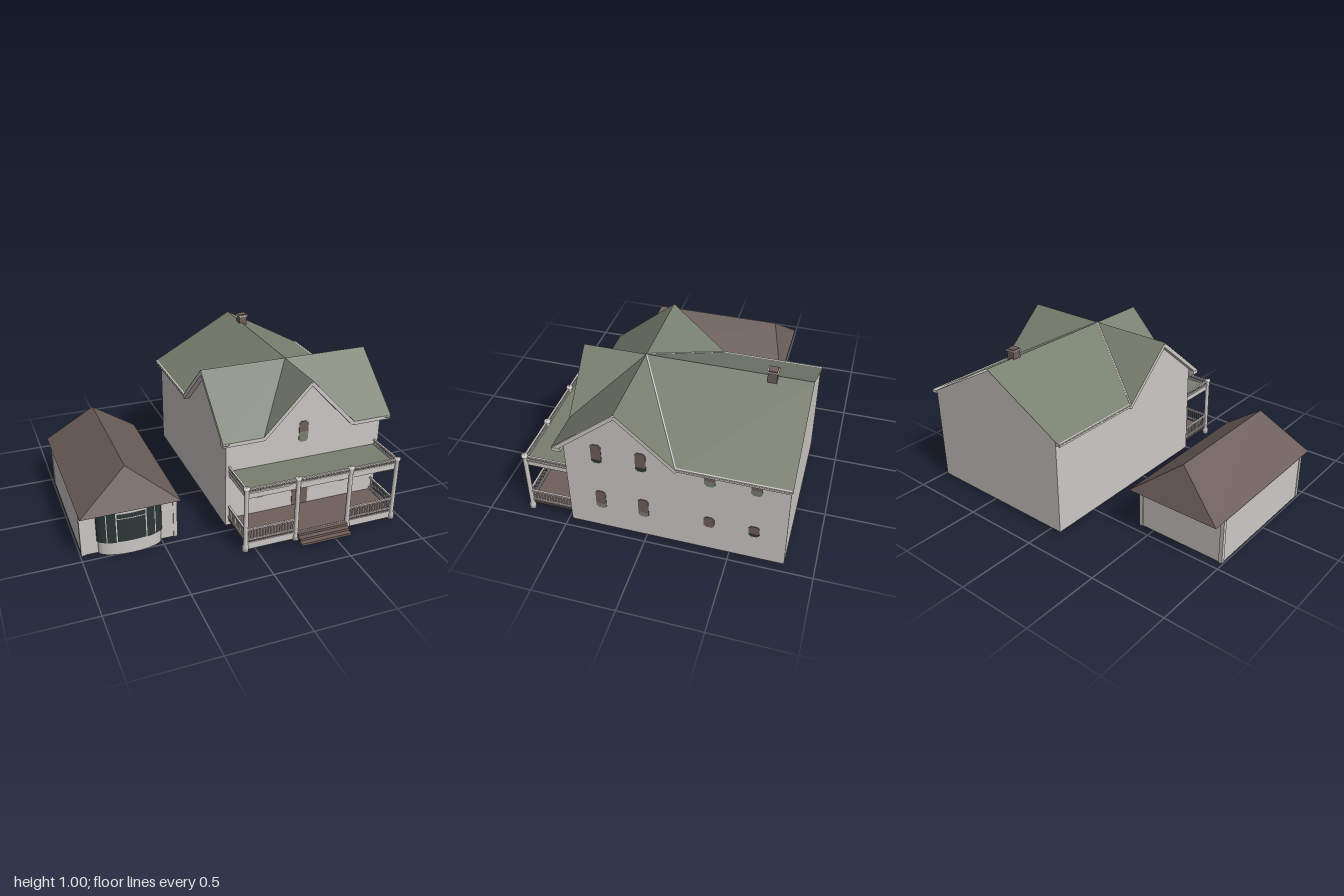
import * as THREE from 'three';
import { mergeGeometries } from 'three/addons/utils/BufferGeometryUtils.js';

const mat = (name, color) => new THREE.MeshStandardMaterial({ name, color, side: THREE.DoubleSide });
const wallPaint = mat('wallPaint', 0xcdc8c5);
const greenRoof = mat('greenRoof', 0x788070);
const brownRoof = mat('brownRoof', 0x6c5e5a);
const brownWood = mat('brownWood', 0x705f5a);
const darkGlass = mat('darkGlass', 0x2c3837);

function add(parent, name, geo, material, x = 0, y = 0, z = 0) {
  const m = new THREE.Mesh(geo, material);
  m.name = name;
  m.position.set(x, y, z);
  parent.add(m);
  return m;
}

// box given by its min and max corners
function box(parent, name, material, x0, x1, y0, y1, z0, z1) {
  return add(parent, name, new THREE.BoxGeometry(x1 - x0, y1 - y0, z1 - z0), material,
    (x0 + x1) / 2, (y0 + y1) / 2, (z0 + z1) / 2);
}

// flat convex polygon, fanned from its first corner, facing upward
function face(parent, name, material, pts) {
  const [a, b, c] = pts.map(p => new THREE.Vector3(...p));
  if (b.clone().sub(a).cross(c.clone().sub(a)).y < 0) pts = [...pts].reverse();
  const pos = [];
  for (let i = 1; i < pts.length - 1; i++) pos.push(...pts[0], ...pts[i], ...pts[i + 1]);
  const g = new THREE.BufferGeometry();
  g.setAttribute('position', new THREE.Float32BufferAttribute(pos, 3));
  g.computeVertexNormals();
  return add(parent, name, g, material);
}

// straight board from a to b
function board(parent, name, material, a, b, width, height) {
  const p = new THREE.Vector3(...a), q = new THREE.Vector3(...b);
  const dx = q.clone().sub(p), len = dx.length();
  dx.normalize();
  const dz = new THREE.Vector3().crossVectors(dx, new THREE.Vector3(0, 1, 0)).normalize();
  const dy = new THREE.Vector3().crossVectors(dz, dx);
  const m = add(parent, name, new THREE.BoxGeometry(len, height, width), material);
  m.quaternion.setFromRotationMatrix(new THREE.Matrix4().makeBasis(dx, dy, dz));
  m.position.copy(p).add(q).multiplyScalar(0.5);
}

// thin plate with clipped corners, centred on the wall plane
function plate(parent, name, material, side, u, w, y0, y1, top, bottom) {
  const h = w / 2, t = top ? 0.014 : 0, b = bottom ? 0.014 : 0;
  const s = new THREE.Shape([[-h + b, y0], [h - b, y0], [h, y0 + b], [h, y1 - t], [h - t, y1],
    [-h + t, y1], [-h, y1 - t], [-h, y0 + b]].map(p => new THREE.Vector2(...p)));
  const g = new THREE.ExtrudeGeometry(s, { depth: 0.008, bevelEnabled: false }).translate(0, 0, -0.004);
  if (side) g.rotateY(Math.PI / 2);
  add(parent, name, g, material, side ? 0.96 : u, 0, side ? u : 0.47);
}

function wall(parent, name, pts) {
  return add(parent, name, new THREE.ShapeGeometry(new THREE.Shape(pts.map(p => new THREE.Vector2(...p)))), wallPaint);
}

function buildHouse() {
  const g = new THREE.Group();
  g.name = 'house';
  const cx = 0.435, R = 0.945;

  // walls with gables
  wall(g, 'frontWall', [[-0.09, 0.02], [0.96, 0.02], [0.96, 0.62], [0.74, 0.62], [cx, 0.93], [0.13, 0.62], [-0.09, 0.62]]).position.z = 0.47;
  const back = wall(g, 'backWall', [[0.09, 0.02], [0.09, 0.645], [-cx, 0.935], [-0.96, 0.645], [-0.96, 0.02]]);
  back.rotation.y = Math.PI;
  back.position.z = -0.825;
  const sidePts = [[-0.47, 0.02], [0.825, 0.02], [0.825, 0.645], [0.19, 0.645], [-0.14, 0.93], [-0.47, 0.64]];
  const right = wall(g, 'leftSideWall', sidePts);
  right.rotation.y = Math.PI / 2;
  right.position.x = 0.96;
  const left = wall(g, 'rightSideWall', sidePts.map(([u, y]) => [-u, y]));
  left.rotation.y = -Math.PI / 2;
  left.position.x = -0.09;

  // crossing roofs, mirrored about the main ridge
  const C = [cx, R, 0.14];
  for (const s of [-1, 1]) {
    const e = cx + s * 0.565, v = cx + s * 0.305;
    face(g, 'mainRoof', greenRoof, [[cx, R, -0.835], C, [e, 0.635, -0.2], [e, 0.635, -0.835]]);
    face(g, 'crossRoofBack', greenRoof, [C, [e, R, 0.14], [e, 0.635, -0.2]]);
    face(g, 'crossRoofFront', greenRoof, [[e, R, 0.14], C, [v, 0.625, 0.525], [e, 0.625, 0.525]]);
    face(g, 'frontGableRoof', greenRoof, [C, [cx, R, 0.525], [v, 0.625, 0.525]]);
    // trim under the roof edges
    const o = cx + s * 0.545, d = 0.018;
    board(g, 'gableTrim', wallPaint, [cx, R - d, 0.497], [v, 0.625 - d, 0.497], 0.05, 0.024);
    board(g, 'eaveTrim', wallPaint, [v, 0.611, 0.497], [e, 0.611, 0.497], 0.05, 0.024);
    board(g, 'sideGableTrim', wallPaint, [o, R - d, 0.14], [o, 0.625 - d, 0.52], 0.038, 0.024);
    board(g, 'sideGableTrim', wallPaint, [o, R - d, 0.14], [o, 0.635 - d, -0.2], 0.038, 0.024);
    board(g, 'sideEaveTrim', wallPaint, [o, 0.632, -0.19], [o, 0.632, -0.83], 0.038, 0.02);
    board(g, 'valleyTrim', wallPaint, C, [e, 0.635, -0.2], 0.008, 0.006);
  }

  // chimney
  box(g, 'chimney', brownWood, 0.423, 0.477, 0.9, 0.985, -0.632, -0.578);
  box(g, 'chimneyCap', wallPaint, 0.417, 0.483, 0.985, 0.993, -0.638, -0.572);
  box(g, 'chimneyTop', brownWood, 0.424, 0.476, 0.992, 1.0, -0.631, -0.579);

  // door and windows: side, position, bottom, split, top, lower colour
  plate(g, 'door', brownWood, false, 0.415, 0.11, 0.07, 0.31, true, false);
  const windows = [
    [false, 0.14, 0.175, 0.175, 0.31, greenRoof], [false, 0.715, 0.175, 0.175, 0.31, greenRoof],
    [false, 0.42, 0.52, 0.588, 0.66, greenRoof],
    [true, 0.275, 0.535, 0.56, 0.67, darkGlass], [true, 0.015, 0.535, 0.565, 0.67, darkGlass],
    [true, -0.38, 0.525, 0.565, 0.61, greenRoof], [true, -0.64, 0.525, 0.565, 0.61, greenRoof],
    [true, 0.27, 0.175, 0.21, 0.31, greenRoof], [true, 0.01, 0.175, 0.21, 0.31, greenRoof],
    [true, -0.38, 0.2, 0.2, 0.28, brownWood], [true, -0.64, 0.2, 0.223, 0.28, darkGlass],
  ];
  for (const [side, u, y0, ym, y1, low] of windows) {
    if (ym === y0) plate(g, 'window', low, side, u, 0.062, y0, y1, true, true);
    else {
      plate(g, 'windowLower', low, side, u, 0.062, y0, ym, false, true);
      plate(g, 'windowUpper', brownWood, side, u, 0.062, ym, y1, true, false);
    }
  }
  return g;
}

// railing between two plan points
function railing(parent, x0, z0, x1, z1, y0, y1) {
  const n = Math.round(Math.hypot(x1 - x0, z1 - z0) / 0.018), bars = [];
  for (let i = 1; i < n; i++) {
    const t = i / n;
    bars.push(new THREE.BoxGeometry(0.006, y1 - y0, 0.006)
      .translate(x0 + (x1 - x0) * t, (y0 + y1) / 2, z0 + (z1 - z0) * t));
  }
  add(parent, 'balusters', mergeGeometries(bars), wallPaint);
  for (const y of [y0, y1]) board(parent, 'rail', wallPaint, [x0, y, z0], [x1, y, z1], 0.012, 0.01);
}

function buildPorch() {
  const g = new THREE.Group();
  g.name = 'porch';
  const xs = [-0.07, 0.26, 0.61, 0.93], zf = 0.745;
  box(g, 'porchFloor', brownWood, -0.07, 0.93, 0.055, 0.068, 0.47, zf);
  box(g, 'floorFascia', wallPaint, -0.07, 0.93, 0.02, 0.066, zf, zf + 0.006);
  box(g, 'porchCeiling', wallPaint, -0.07, 0.93, 0.37, 0.402, 0.472, zf);
  box(g, 'porchRoof', greenRoof, -0.07, 0.93, 0.402, 0.406, 0.472, zf + 0.003);

  // turned posts
  const post = new THREE.LatheGeometry([[0, 0.01], [0.02, 0.01], [0.02, 0.045], [0.014, 0.055], [0.014, 0.425],
    [0.02, 0.432], [0.02, 0.445], [0, 0.445]].map(p => new THREE.Vector2(...p)), 12);
  for (const x of xs) add(g, 'porchPost', post, wallPaint, x, 0, zf);

  // lower and upper railings
  for (let i = 0; i < 3; i++) {
    if (i !== 1) railing(g, xs[i], zf, xs[i + 1], zf, 0.085, 0.157);
    railing(g, xs[i], zf, xs[i + 1], zf, 0.41, 0.437);
  }
  for (const x of [xs[0], xs[3]]) {
    railing(g, x, 0.475, x, zf, 0.085, 0.157);
    railing(g, x, 0.475, x, zf, 0.41, 0.437);
  }

  // front steps
  for (let i = 0; i < 3; i++) {
    const z1 = 0.83 - i * 0.028;
    box(g, 'step', brownWood, 0.265, 0.6, 0.013 + i * 0.018, 0.028 + i * 0.018, z1 - 0.04, z1);
  }
  return g;
}

function buildGarage() {
  const g = new THREE.Group();
  g.name = 'garage';
  const x0 = -0.99, x1 = -0.4, zb = -0.44, zf = 0.44, h = 0.3, t = 0.004, cx = -0.695;
  box(g, 'garageBackWall', wallPaint, x0, x1, 0, h, zb, zb + t);
  for (const x of [x0, x1 - t]) box(g, 'garageSideWall', wallPaint, x, x + t, 0, h, zb, zf);
  box(g, 'garageFrontWall', wallPaint, x0, -0.89, 0, h, zf - t, zf);
  box(g, 'garageFrontWall', wallPaint, -0.5, x1, 0, h, zf - t, zf);
  for (const x of [x0 + 0.008, x1 - 0.008]) for (const z of [zb + 0.006, zf - 0.006])
    box(g, 'cornerBoard', wallPaint, x - 0.012, x + 0.012, 0, h, z - 0.012, z + 0.012);

  // curved bay with window panes
  const arc = (a, b, y0, y1, s) => new THREE.CylinderGeometry(s, s, y1 - y0, 12, 1, true, a, b - a)
    .scale(0.195, 1, 0.07).translate(cx, (y0 + y1) / 2, zf);
  add(g, 'bayWall', arc(-Math.PI / 2, Math.PI / 2, 0, h, 1), wallPaint);
  const edges = [-1, -0.74, -0.45, 0.45, 0.74, 1].map(Math.asin);
  for (let i = 0; i < 5; i++) {
    const a = edges[i] + 0.02, b = edges[i + 1] - 0.02;
    if (i === 2) {
      add(g, 'bayPane', arc(a, b, 0.09, 0.245, 1.03), darkGlass);
      add(g, 'bayTransom', arc(a, b, 0.25, 0.28, 1.03), darkGlass);
    } else add(g, 'bayPane', arc(a, b, 0.085, 0.29, 1.03), darkGlass);
  }

  // hipped roof
  const A = [-1, h, 0.522], B = [-0.39, h, 0.522], C = [-0.39, h, -0.54], D = [-1, h, -0.54];
  const F = [cx, 0.54, 0.41], K = [cx, 0.54, -0.43];
  for (const pts of [[A, B, F], [B, C, K, F], [C, D, K], [D, A, F, K]]) face(g, 'garageRoof', brownRoof, pts);
  return g;
}

export function createModel() {
  const model = new THREE.Group();
  model.name = 'farmhouseWithGarage';
  model.add(buildHouse(), buildPorch(), buildGarage());
  return model;
}
